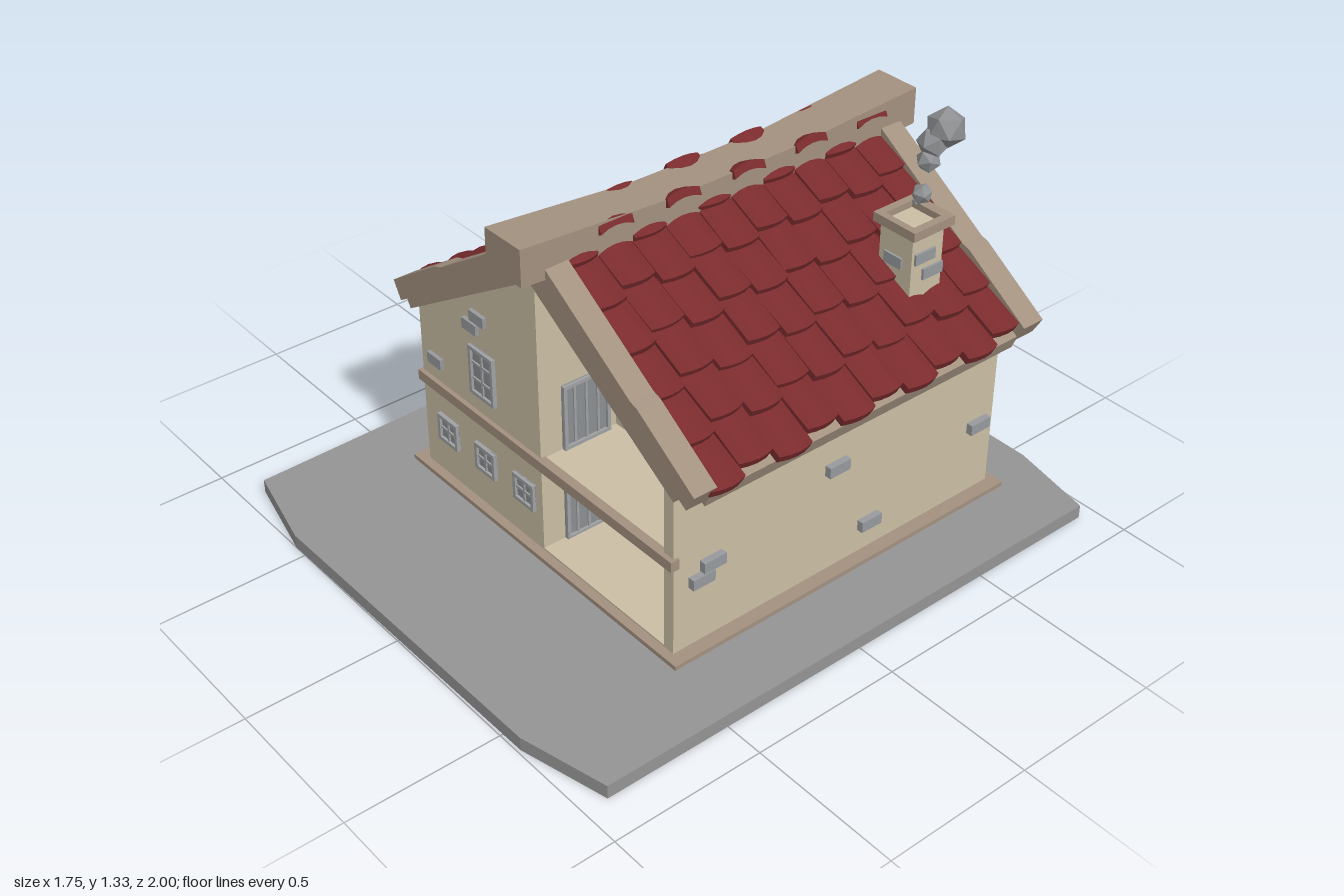
import * as THREE from 'three';

const mat = (name, color) => {
  const m = new THREE.MeshStandardMaterial({ color });
  m.name = name;
  return m;
};

export function createModel() {
  const root = new THREE.Group();
  root.name = 'house';
  const ground = mat('ground grey', 0x949494);
  const plaster = mat('plaster cream', 0xcbbfa4);
  const wood = mat('weathered wood', 0xa39180);
  const tileRed = mat('roof tile red', 0x7a2b2d);
  const stone = mat('stone grey', 0x979a9d);
  const frameGrey = mat('frame grey', 0x9fa1a3);
  const glass = mat('pane grey', 0x8b8e91);
  const smokeGrey = mat('smoke grey', 0x8e9092);

  let seed = 7;
  const rand = () => (seed = (seed * 16807) % 2147483647) / 2147483647;

  const add = (name, geo, material, parent = root) => {
    const m = new THREE.Mesh(geo, material);
    m.name = name;
    parent.add(m);
    return m;
  };
  // Box given by its limits on each axis
  const box = (name, material, [x0, x1], [y0, y1], [z0, z1], parent = root) => {
    const m = add(name, new THREE.BoxGeometry(x1 - x0, y1 - y0, z1 - z0), material, parent);
    m.position.set((x0 + x1) / 2, (y0 + y1) / 2, (z0 + z1) / 2);
    return m;
  };
  // Flat outline in x and y, pushed from z0 to z1
  const prism = (name, material, points, z0, z1, parent = root) => {
    const shape = new THREE.Shape(points.map(p => new THREE.Vector2(...p)));
    const geo = new THREE.ExtrudeGeometry(shape, { depth: z1 - z0, bevelEnabled: false });
    geo.translate(0, 0, z0);
    return add(name, geo, material, parent);
  };

  // Ground slab and plinth
  const slab = prism('groundSlab', ground, [[-0.56, -1], [0.58, -1], [0.87, -0.94], [0.87, 0.92],
    [0.58, 0.99], [-0.55, 1], [-0.85, 0.93], [-0.88, -0.93]], 0, 0.045);
  slab.rotation.x = Math.PI / 2;
  slab.position.y = 0.045;
  box('plinth', wood, [-0.645, 0.645], [0.045, 0.06], [-0.83, 0.5]);

  // Walls: full gable behind, left half in front, thin side wall around the open porch
  prism('mainWalls', plaster, [[-0.6, 0.06], [0.6, 0.06], [0.6, 0.64], [0, 1.03], [-0.6, 0.64]], -0.8, 0.19);
  prism('frontWing', plaster, [[-0.6, 0.06], [0, 0.06], [0, 1.03], [-0.6, 0.64]], 0.19, 0.47);
  prism('porchSideWall', plaster, [[0.56, 0.06], [0.6, 0.06], [0.6, 0.64], [0.56, 0.666]], 0.19, 0.47);
  box('porchFloor', plaster, [0, 0.56], [0.06, 0.066], [0.19, 0.47]);
  box('balconyFloor', plaster, [0, 0.56], [0.365, 0.395], [0.19, 0.47]);
  box('floorBeam', wood, [-0.608, 0.608], [0.365, 0.4], [0.455, 0.485]);

  // Framed opening facing +z, centred on its own origin
  const opening = (name, w, h, columns, rows) => {
    const g = new THREE.Group();
    g.name = name;
    const t = 0.012;
    box('panes', glass, [-w / 2, w / 2], [-h / 2, h / 2], [-0.002, 0.005], g);
    for (const s of [-1, 1]) {
      const x = s * (w - t) / 2, y = s * (h - t) / 2;
      box('frameSide', frameGrey, [x - t / 2, x + t / 2], [-h / 2, h / 2], [0, 0.014], g);
      box('frameEdge', frameGrey, [-w / 2, w / 2], [y - t / 2, y + t / 2], [0, 0.014], g);
    }
    for (let i = 1; i < columns; i++) {
      const x = -w / 2 + (w * i) / columns;
      box('uprightBar', frameGrey, [x - 0.004, x + 0.004], [-h / 2, h / 2], [0, 0.01], g);
    }
    for (let i = 1; i < rows; i++) {
      const y = -h / 2 + (h * i) / rows;
      box('crossBar', frameGrey, [-w / 2, w / 2], [y - 0.004, y + 0.004], [0, 0.01], g);
    }
    root.add(g);
    return g;
  };
  for (const x of [-0.47, -0.275, -0.08])
    opening('lowerWindow', 0.1, 0.095, 2, 2).position.set(x, 0.235, 0.47);
  opening('upperWindow', 0.12, 0.17, 2, 3).position.set(-0.27, 0.55, 0.47);
  opening('balconyWindow', 0.12, 0.17, 2, 3).position.set(0.245, 0.55, 0.19);
  opening('porchWindow', 0.2, 0.18, 3, 2).position.set(0.265, 0.21, 0.19);
  for (const y of [0.175, 0.507]) {
    const door = opening('door', 0.17, 0.225, 4, 1);
    door.position.set(0, y, 0.305);
    door.rotation.y = Math.PI / 2;
  }

  // Loose stones set in the plaster
  const brick = (x, y, z, alongZ) => {
    const m = add('wallStone', new THREE.BoxGeometry(alongZ ? 0.04 : 0.07, 0.036, alongZ ? 0.08 : 0.04), stone);
    m.position.set(x, y, z);
  };
  for (const [z, y] of [[-0.135, 0.43], [0.335, 0.33], [0.375, 0.29], [-0.73, 0.305], [-0.28, 0.16]])
    for (const s of [-1, 1]) brick(s * 0.602, y, z, true);
  for (const [x, y] of [[-0.28, 0.745], [-0.32, 0.7], [-0.52, 0.475]]) brick(x, y, 0.463, false);
  for (const [x, y] of [[0.54, 0.43], [-0.43, 0.36], [-0.4, 0.4]]) brick(x, y, -0.8, false);

  // Curved roof tile: x runs down the slope, lower edge rounded
  const tileGeometry = (len, width) => {
    let g = new THREE.BoxGeometry(len, 0.026, width, 1, 1, 4);
    const p = g.attributes.position;
    for (let i = 0; i < p.count; i++) {
      const q = (p.getZ(i) / (width / 2)) ** 2;
      p.setY(i, p.getY(i) - 0.012 * q);
      if (p.getX(i) > 0) p.setX(i, p.getX(i) - 0.014 * q);
    }
    g = g.toNonIndexed();
    g.computeVertexNormals();
    return g;
  };

  // One roof half per side: boarding, gable boards and rows of tiles
  const slope = Math.atan(0.65);
  for (const turn of [0, Math.PI]) {
    const half = new THREE.Group();
    half.name = turn ? 'leftRoof' : 'rightRoof';
    half.position.z = -0.187;
    half.rotation.y = turn;
    root.add(half);
    prism('roofBoarding', wood, [[0, 1.02], [0.66, 0.591], [0.68, 0.64], [0, 1.09]], -0.6, 0.6, half);
    const gable = [[0, 1.01], [0.62, 0.618], [0.635, 0.645], [0.672, 0.622], [0.705, 0.68],
      [0.47, 0.838], [0.44, 0.848], [0, 1.138]];
    for (const z of [-0.675, 0.595]) prism('gableBoard', wood, gable, z, z + 0.08, half);

    const tiles = new THREE.Group();
    tiles.name = 'roofTiles';
    tiles.position.y = 1.1;
    tiles.rotation.z = -slope;
    half.add(tiles);
    for (let c = 0; c < 10; c++) {
      const end = 0.805 + (c % 2) * 0.025 + rand() * 0.01;
      for (let r = 0; r < 6; r++) {
        const len = 0.185;
        const lower = end - r * 0.148;
        if (lower < 0.09) continue;
        const m = add('roofTile', tileGeometry(len, 0.119), tileRed, tiles);
        m.position.set(lower - len / 2, 0.007 + rand() * 0.006, -0.552 + c * 0.1227);
        m.rotation.set((rand() - 0.5) * 0.06, (rand() - 0.5) * 0.06, 0.13);
      }
    }
  }

  // Sagging ridge beam with raised ends
  const ridge = new THREE.BoxGeometry(0.16, 0.12, 1.49, 1, 1, 6);
  const rp = ridge.attributes.position;
  for (let i = 0; i < rp.count; i++) {
    const t = Math.max(0, Math.abs(rp.getZ(i)) - 0.22) / 0.525;
    rp.setY(i, rp.getY(i) + 0.04 * t);
    rp.setX(i, rp.getX(i) * (0.88 + 0.12 * t));
  }
  const ridgeFlat = ridge.toNonIndexed();
  ridgeFlat.computeVertexNormals();
  add('ridgeBeam', ridgeFlat, wood).position.set(0, 1.08, -0.175);

  // Chimney with hollow cap
  box('chimney', plaster, [0.37, 0.5], [0.76, 1.008], [-0.625, -0.5]);
  const cap = new THREE.Shape([[0.352, -0.65], [0.518, -0.65], [0.518, -0.485], [0.352, -0.485]]
    .map(p => new THREE.Vector2(...p)));
  cap.holes.push(new THREE.Path([[0.378, -0.617], [0.378, -0.508], [0.492, -0.508], [0.492, -0.617]]
    .map(p => new THREE.Vector2(...p))));
  const capGeo = new THREE.ExtrudeGeometry(cap, { depth: 0.03, bevelEnabled: false });
  capGeo.rotateX(Math.PI / 2).translate(0, 1.03, 0);
  add('chimneyCap', capGeo, wood);
  for (const [x, y, z, alongZ] of [[0.488, 0.925, -0.55, true], [0.488, 0.865, -0.585, true],
    [0.43, 0.9, -0.512, false], [0.382, 0.95, -0.56, true], [0.44, 0.93, -0.612, false]])
    brick(x, y, z, alongZ);

  // Puffs of smoke
  for (const [x, y, z, r] of [[0.44, 1.09, -0.588, 0.032], [0.43, 1.065, -0.58, 0.016],
    [0.43, 1.185, -0.615, 0.038], [0.425, 1.235, -0.635, 0.05], [0.44, 1.275, -0.668, 0.063]]) {
    const puff = add('smokePuff', new THREE.IcosahedronGeometry(r, 0), smokeGrey);
    puff.position.set(x, y, z);
    puff.rotation.set(rand() * 3, rand() * 3, 0);
  }
  return root;
}
